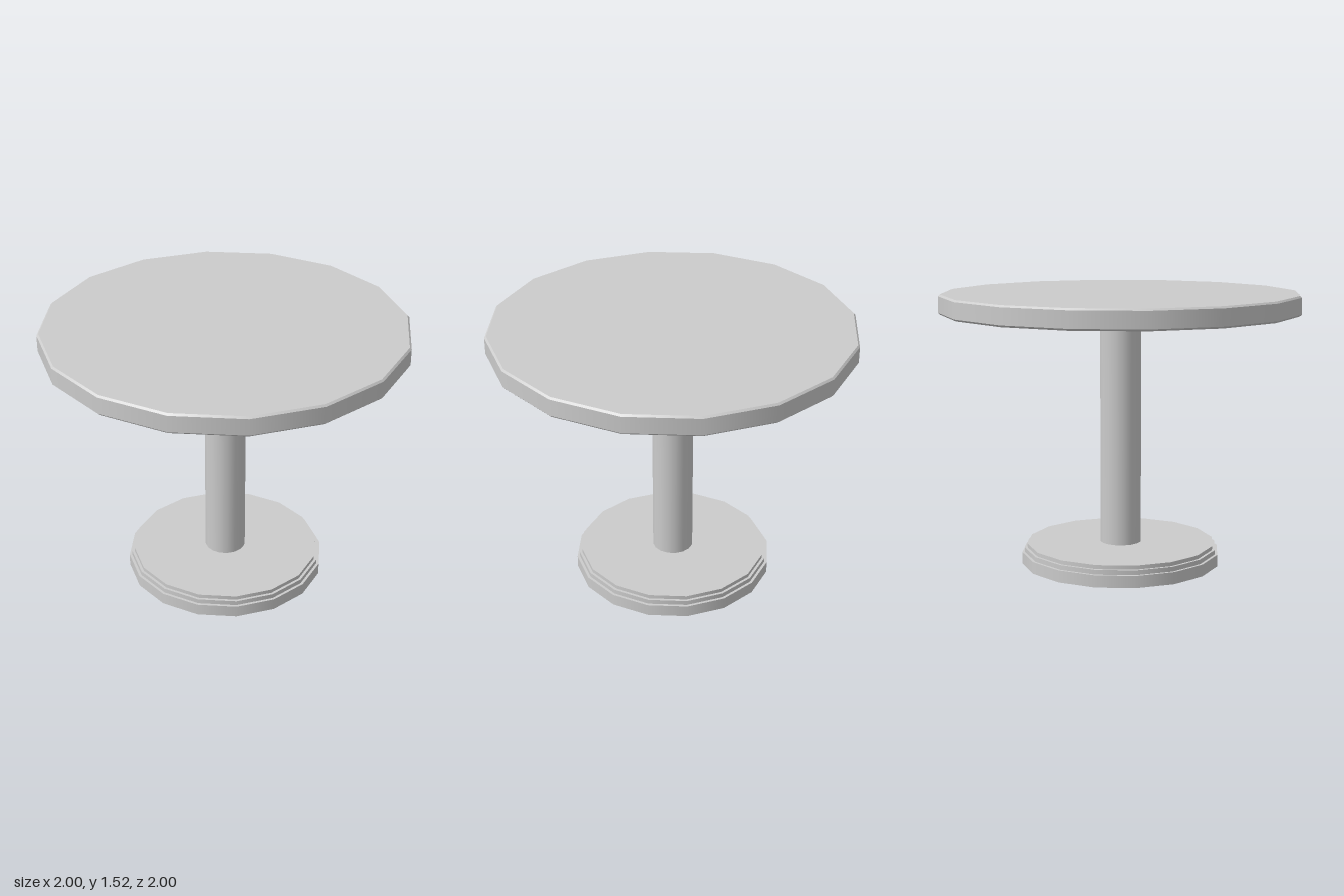
import * as THREE from 'three';
import { mergeGeometries } from 'three/addons/utils/BufferGeometryUtils.js';

const SIDES = 16;
const material = new THREE.MeshStandardMaterial({ color: 0xcccccc });

// Round section from height y0 to y1, radius r0 at the bottom and r1 at the top
function section(r0, r1, y0, y1, open = false, sides = SIDES) {
  const g = new THREE.CylinderGeometry(r1, r0, y1 - y0, sides, 1, open);
  return g.translate(0, (y0 + y1) / 2, 0);
}

// Flat disc facing up or down
function disc(r, y, up) {
  // start angle puts the corners on the x and z axes, like the sections
  const g = new THREE.CircleGeometry(r, SIDES);
  return g.rotateX(up ? -Math.PI / 2 : Math.PI / 2).translate(0, y, 0);
}

function add(group, name, geometry) {
  const mesh = new THREE.Mesh(geometry, material);
  mesh.name = name;
  group.add(mesh);
}

export function createModel() {
  const table = new THREE.Group();
  table.name = 'pedestalTable';

  // Stepped foot
  const base = new THREE.Group();
  base.name = 'base';
  add(base, 'baseLowerStep', section(0.56, 0.56, 0, 0.067));
  add(base, 'baseMiddleStep', section(0.545, 0.545, 0.06, 0.093));
  add(base, 'baseUpperStep', section(0.53, 0.53, 0.09, 0.115));
  table.add(base);

  // Central column
  add(table, 'column', section(0.115, 0.115, 0.11, 1.42));

  // Tabletop with small bevels around both edges
  const low = 1.415, high = 1.525, bevel = 0.01;
  add(table, 'tabletop', mergeGeometries([
    disc(1 - bevel, low, false),
    section(1 - bevel, 1, low, low + bevel, true),
    section(1, 1, low + bevel, high - bevel, true),
    section(1, 1 - bevel, high - bevel, high, true),
    disc(1 - bevel, high, true),
  ]));

  return table;
}
